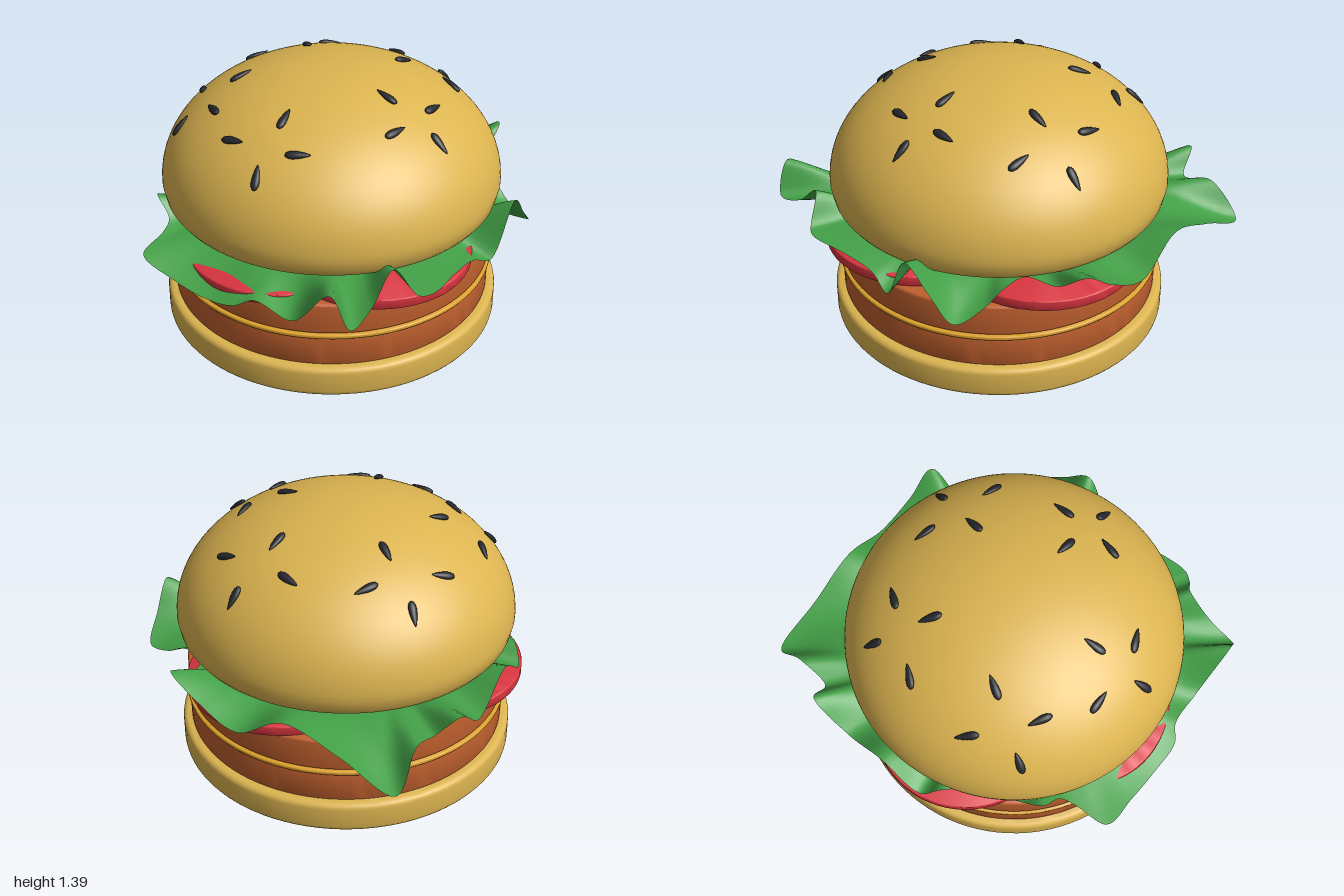
import * as THREE from 'three';
import { toCreasedNormals } from 'three/addons/utils/BufferGeometryUtils.js';

const material = (name, color, side = THREE.FrontSide) =>
  Object.assign(new THREE.MeshStandardMaterial({ color, side }), { name });

// Top bun dome: ellipsoid above its widest ring
const DOME = { radius: 0.882, base: 0.8, height: 0.595 };

// Outer lettuce edge: x, z, y
const LETTUCE_EDGE = [
  [-0.79, -0.98, 0.53], [-0.5, -0.98, 0.64], [-0.2, -0.99, 0.74], [0.06, -1, 0.6], [0.28, -0.98, 0.68],
  [0.45, -0.96, 0.8], [0.46, -0.78, 0.67], [0.5, -0.62, 0.67], [0.64, -0.6, 0.66], [0.75, -0.57, 0.59],
  [0.9, -0.52, 0.56], [0.93, -0.4, 0.68], [0.95, -0.26, 0.82], [0.93, -0.1, 0.55], [0.9, 0.03, 0.6],
  [0.91, 0.2, 0.63], [0.92, 0.44, 0.64], [0.88, 0.5, 0.65], [0.78, 0.56, 0.79], [0.77, 0.72, 0.66],
  [0.76, 0.88, 0.62], [0.67, 0.91, 0.79], [0.43, 0.9, 0.54], [0.22, 0.92, 0.58], [0.14, 0.98, 0.55],
  [-0.03, 0.99, 0.525], [-0.24, 0.99, 0.55], [-0.44, 0.98, 0.61], [-0.47, 0.8, 0.64], [-0.5, 0.72, 0.67],
  [-0.6, 0.69, 0.76], [-0.65, 0.55, 0.66], [-0.72, 0.36, 0.64], [-0.86, 0.23, 0.7], [-0.93, 0.14, 0.62],
  [-0.94, -0.1, 0.75], [-0.93, -0.35, 0.61], [-0.92, -0.58, 0.76], [-0.81, -0.62, 0.64], [-0.8, -0.8, 0.69],
];

// Seeds: x, z, heading in degrees
const SEEDS = [
  [0.24, -0.69, 100], [0, -0.58, 15], [0.405, -0.487, 10], [0.167, -0.4, 98], [-0.36, -0.47, 125],
  [-0.585, -0.42, 48], [-0.345, -0.24, 38], [-0.61, -0.15, 130], [0.53, -0.12, 90], [0.357, 0.03, 3],
  [0.67, 0.03, 185], [0.515, 0.185, 102], [-0.41, 0.22, 118], [-0.65, 0.245, 48], [-0.38, 0.475, 28],
  [-0.575, 0.51, 115], [0.055, 0.455, 80], [0.23, 0.575, 152], [-0.125, 0.63, 177], [0.1, 0.73, 65],
];

// Disc with rounded rims, standing from y0 to y1
function roundDisc(radius, y0, y1, bevel, segments = 96) {
  const pts = [new THREE.Vector2(0, y0)];
  for (const [cy, start] of [[y0 + bevel, -90], [y1 - bevel, 0]]) {
    for (let i = 0; i <= 4; i++) {
      const a = THREE.MathUtils.degToRad(start + i * 22.5);
      pts.push(new THREE.Vector2(radius - bevel + bevel * Math.cos(a), cy + bevel * Math.sin(a)));
    }
  }
  pts.push(new THREE.Vector2(0, y1));
  return toCreasedNormals(new THREE.LatheGeometry(pts, segments), 0.6);
}

function topBun() {
  const pts = [[0, 0.7], [0.82, 0.7], [0.85, 0.712], [0.87, 0.74]].map(p => new THREE.Vector2(...p));
  for (let i = 0; i <= 28; i++) {
    const a = (i / 28) * Math.PI / 2;
    pts.push(new THREE.Vector2(i === 28 ? 0 : DOME.radius * Math.cos(a), DOME.base + DOME.height * Math.sin(a)));
  }
  return toCreasedNormals(new THREE.LatheGeometry(pts, 96), 0.7);
}

// Ruffled leaf sheet: flat in the middle, waving more toward the edge
function lettuceSheet() {
  const curve = new THREE.CatmullRomCurve3(
    LETTUCE_EDGE.map(([x, z, y]) => new THREE.Vector3(x, y, z)), true, 'centripetal');
  const around = 320, rings = 16, pos = [], index = [];
  for (let j = 0; j <= rings; j++) {
    const t = 0.35 + 0.65 * j / rings;
    const wave = THREE.MathUtils.smoothstep(t, 0.62, 1.06) / THREE.MathUtils.smoothstep(1, 0.62, 1.06);
    for (let i = 0; i < around; i++) {
      const p = curve.getPoint(i / around);
      pos.push(p.x * t, THREE.MathUtils.lerp(0.655, p.y, wave), p.z * t);
      if (j === rings) continue;
      const a = j * around + i, b = j * around + (i + 1) % around;
      index.push(a, b, a + around, b, b + around, a + around);
    }
  }
  // Edge runs so that these faces point up
  for (let k = 0; k < index.length; k += 3) [index[k + 1], index[k + 2]] = [index[k + 2], index[k + 1]];
  const geo = new THREE.BufferGeometry();
  geo.setAttribute('position', new THREE.Float32BufferAttribute(pos, 3));
  geo.setIndex(index);
  geo.computeVertexNormals();
  if (geo.attributes.normal.getY(0) < 0) {
    geo.setIndex(index.slice().reverse());
    geo.computeVertexNormals();
  }
  return geo;
}

// Teardrop seed pointing along x, thin at -x
function seedGeometry() {
  const geo = new THREE.SphereGeometry(1, 16, 12);
  const p = geo.attributes.position;
  for (let i = 0; i < p.count; i++) {
    const taper = 0.75 + 0.35 * p.getX(i);
    p.setXYZ(i, p.getX(i) * 0.064, p.getY(i) * 0.018 * taper, p.getZ(i) * 0.026 * taper);
  }
  geo.computeVertexNormals();
  return geo;
}

export function createModel() {
  const group = new THREE.Group();
  group.name = 'burger';
  const bun = material('bun', 0xdcb450);
  const meat = material('patty', 0xc0602e);
  const cheese = material('cheese', 0xdca02a);
  const tomato = material('tomato', 0xd8343f);
  const leaf = material('lettuce', 0x43a047, THREE.DoubleSide);
  const dark = material('seed', 0x24262a);

  const add = (name, geometry, mat, parent = group) => {
    const mesh = new THREE.Mesh(geometry, mat);
    mesh.name = name;
    parent.add(mesh);
    return mesh;
  };

  add('bottomBun', roundDisc(0.888, 0, 0.167, 0.03), bun);
  add('lowerPatty', roundDisc(0.842, 0.165, 0.332, 0.014), meat);
  add('cheeseSlice', roundDisc(0.855, 0.332, 0.356, 0.008), cheese);
  add('upperPatty', roundDisc(0.842, 0.356, 0.53, 0.014), meat);

  // Four overlapping tomato slices
  const slice = roundDisc(0.49, 0.53, 0.588, 0.008, 64);
  for (const [x, z] of [[0, 0.43], [-0.455, 0.05], [0.41, 0.18], [0.14, -0.42]]) {
    add('tomatoSlice', slice, tomato).position.set(x, 0, z);
  }

  add('lettuce', lettuceSheet(), leaf);
  add('topBun', topBun(), bun);

  // Seeds lie on the dome, tilted to its slope
  const seeds = new THREE.Group();
  seeds.name = 'seeds';
  group.add(seeds);
  const seedGeo = seedGeometry();
  for (const [x, z, deg] of SEEDS) {
    const { radius, base, height } = DOME;
    const h = Math.sqrt(1 - (x * x + z * z) / (radius * radius));
    const up = new THREE.Vector3(x / radius ** 2, h / height, z / radius ** 2).normalize();
    const a = THREE.MathUtils.degToRad(deg);
    const along = new THREE.Vector3(Math.cos(a), 0, Math.sin(a));
    along.y = -(along.x * up.x + along.z * up.z) / up.y;
    along.normalize();
    const seed = add('seed', seedGeo, dark, seeds);
    seed.quaternion.setFromRotationMatrix(
      new THREE.Matrix4().makeBasis(along, up, new THREE.Vector3().crossVectors(along, up)));
    seed.position.set(x, base + height * h, z).addScaledVector(up, 0.004);
  }
  return group;
}
